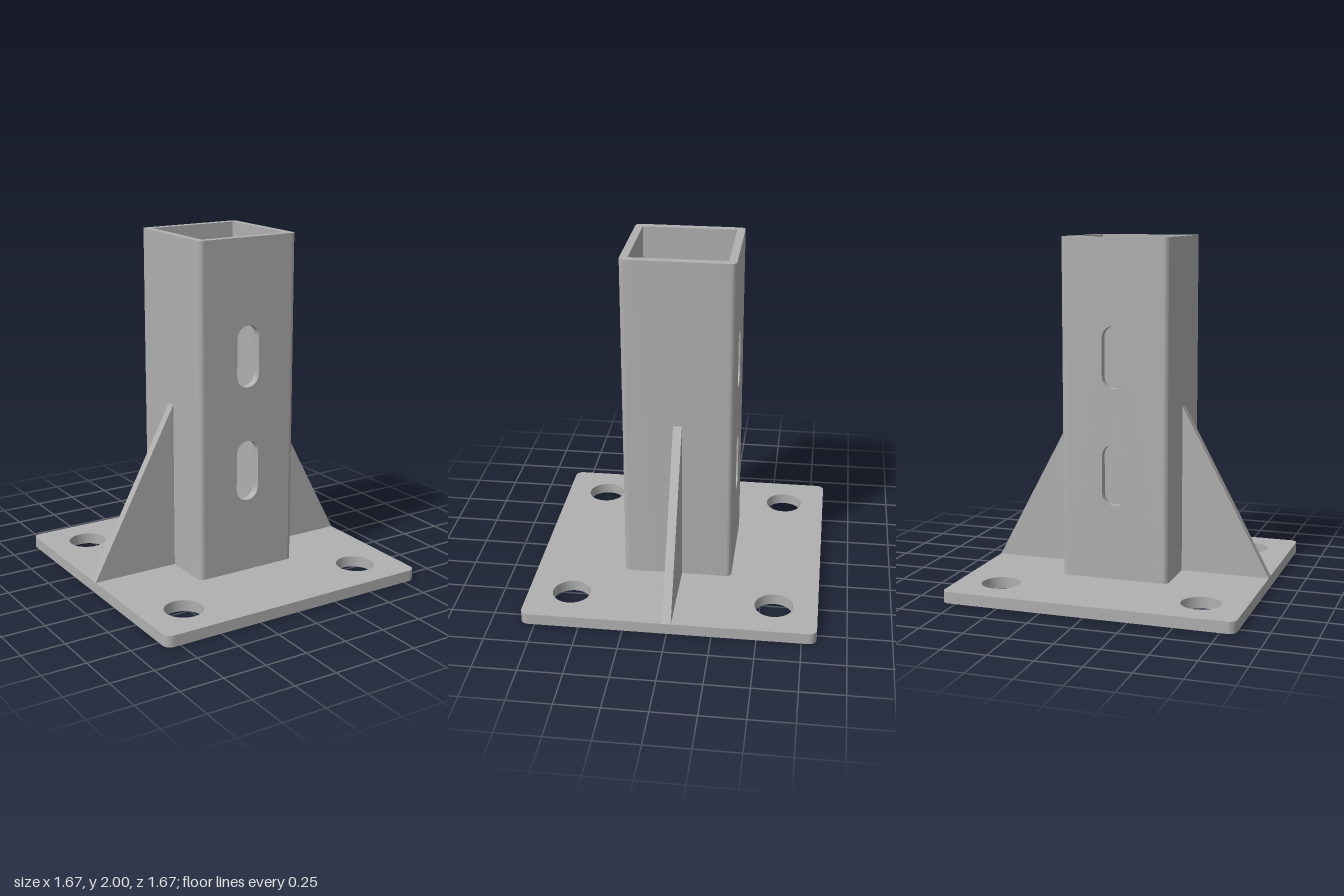
import * as THREE from 'three';
import { toCreasedNormals } from 'three/addons/utils/BufferGeometryUtils.js';

const PLATE = 0.833, PLATE_H = 0.065;   // base half width, thickness
const TUBE = 0.315, INNER = 0.27;       // post outer and inner half widths
const R = 0.03;                         // post corner radius
const TOP = 2;

export function createModel() {
  const model = new THREE.Group();
  model.name = 'postBase';
  const steel = new THREE.MeshStandardMaterial({ color: 0xb0b0b0 });
  steel.name = 'grey steel';

  const extrude = (shape, depth, curveSegments = 8) => toCreasedNormals(
    new THREE.ExtrudeGeometry(shape, { depth, bevelEnabled: false, curveSegments }), 0.5);
  const add = (name, geometry, turn = 0) => {
    const mesh = new THREE.Mesh(geometry, steel);
    mesh.name = name;
    mesh.rotation.y = turn;
    model.add(mesh);
  };

  // Base plate with rounded corners and four bolt holes
  const plate = new THREE.Shape();
  const c = PLATE - 0.045;
  plate.absarc(c, c, 0.045, 0, Math.PI / 2);
  plate.absarc(-c, c, 0.045, Math.PI / 2, Math.PI);
  plate.absarc(-c, -c, 0.045, Math.PI, Math.PI * 1.5);
  plate.absarc(c, -c, 0.045, Math.PI * 1.5, Math.PI * 2);
  for (const x of [-0.583, 0.583]) for (const y of [-0.583, 0.583]) {
    plate.holes.push(new THREE.Path().absarc(x, y, 0.11, 0, Math.PI * 2, true));
  }
  add('basePlate', extrude(plate, PLATE_H, 24).rotateX(-Math.PI / 2));

  // Slotted front and back walls of the post
  const flat = TUBE - R;
  const wall = new THREE.Shape([
    new THREE.Vector2(-flat, PLATE_H), new THREE.Vector2(flat, PLATE_H),
    new THREE.Vector2(flat, TOP), new THREE.Vector2(-flat, TOP)]);
  const r = 0.072;
  for (const [low, high] of [[0.492, 0.846], [1.158, 1.512]]) {
    const slot = new THREE.Path();
    slot.absarc(0, high - r, r, 0, Math.PI);
    slot.absarc(0, low + r, r, Math.PI, Math.PI * 2);
    slot.closePath();
    wall.holes.push(slot);
  }
  const wallGeometry = extrude(wall, TUBE - INNER, 16).translate(0, 0, INNER);
  add('frontWall', wallGeometry);
  add('backWall', wallGeometry, Math.PI);

  // Side walls, each carrying two rounded post corners
  const side = new THREE.Shape();
  side.moveTo(flat, -TUBE);
  side.absarc(flat, -flat, R, -Math.PI / 2, 0);
  side.absarc(flat, flat, R, 0, Math.PI / 2);
  side.lineTo(flat, INNER);
  side.lineTo(INNER, INNER);
  side.lineTo(INNER, -INNER);
  side.lineTo(flat, -INNER);
  side.closePath();
  const sideGeometry = extrude(side, TOP - PLATE_H).rotateX(-Math.PI / 2).translate(0, PLATE_H, 0);
  add('leftWall', sideGeometry);
  add('rightWall', sideGeometry, Math.PI);

  // Triangular gussets
  const gusset = new THREE.Shape([
    new THREE.Vector2(TUBE, PLATE_H), new THREE.Vector2(PLATE, PLATE_H),
    new THREE.Vector2(TUBE, 1.035)]);
  const gussetGeometry = extrude(gusset, 0.05).translate(0, 0, -0.025);
  add('leftGusset', gussetGeometry);
  add('rightGusset', gussetGeometry, Math.PI);

  return model;
}
